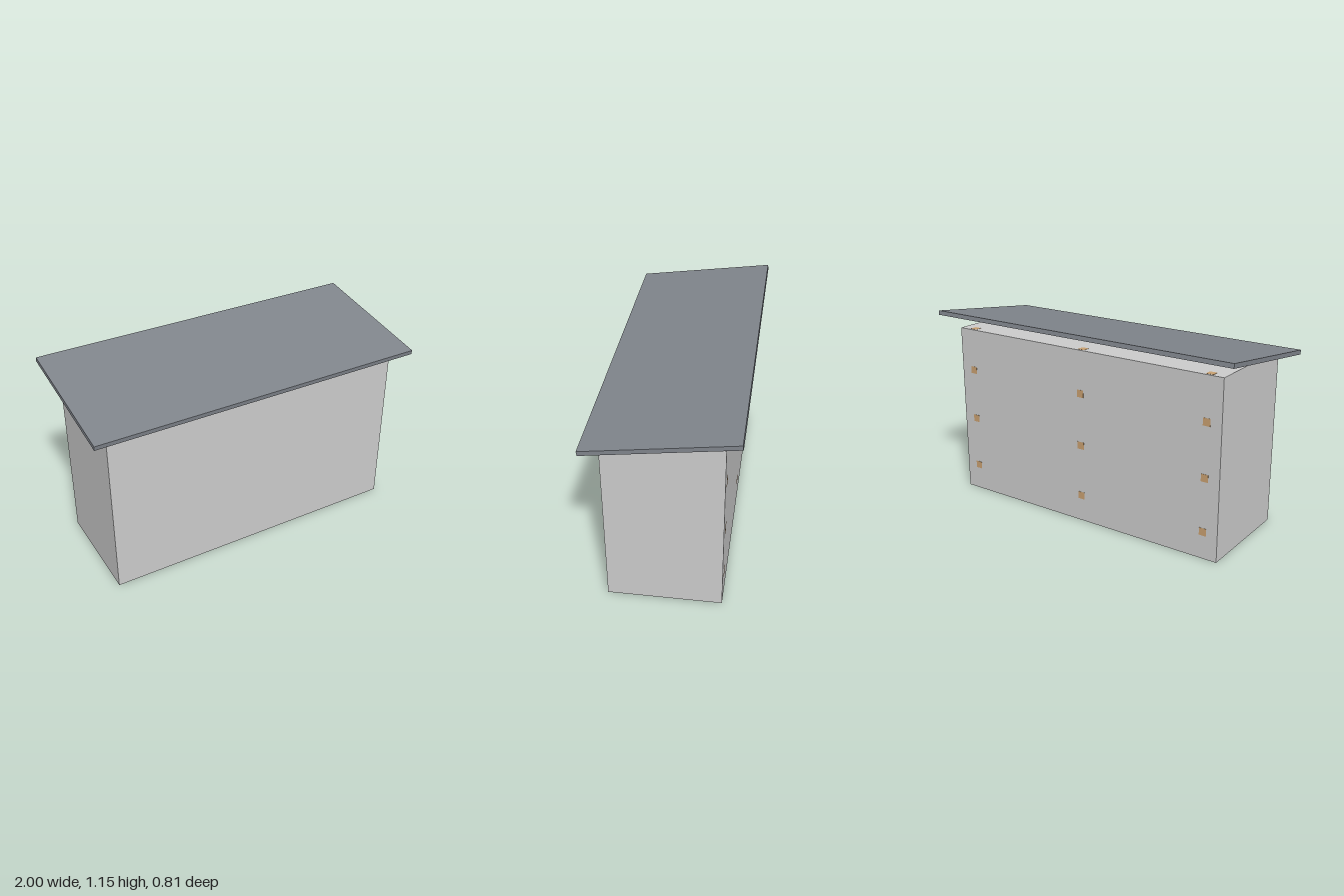
import * as THREE from 'three';

const grey = new THREE.MeshStandardMaterial({ color: 0xcccccc });
const slate = new THREE.MeshStandardMaterial({ color: 0x80858c });
const timber = new THREE.MeshStandardMaterial({ color: 0xc8a070 });

function box(name, material, size, position) {
  const mesh = new THREE.Mesh(new THREE.BoxGeometry(...size), material);
  mesh.name = name;
  mesh.position.set(...position);
  return mesh;
}

export function createModel() {
  const group = new THREE.Group();
  group.name = 'shed';

  // Plain walled body
  const height = 1.045, depth = 0.638;
  group.add(box('body', grey, [1.81, height, depth], [0, height / 2, 0]));

  // Single-pitch roof, low at the front and overhanging all round
  const roof = box('roof', slate, [2, 0.026, 0.816], [0, 1.085, 0]);
  roof.rotation.x = Math.atan(0.114 / 0.81);
  group.add(roof);

  // Timber frame: posts reach the body top, cross beams end at the back wall
  const frame = new THREE.Group();
  frame.name = 'frame';
  const t = 0.044, proud = 0.001;
  for (const x of [-0.815, 0, 0.815]) {
    for (const z of [-0.285, 0.285]) {
      const h = z < 0 ? height + proud : 1.02;
      frame.add(box('post', timber, [t, h - 0.002, t], [x, h / 2 + 0.001, z]));
    }
    for (const y of [0.16, 0.475, 0.79]) {
      frame.add(box('crossBeam', timber, [t, t, depth - 0.002], [x, y, -0.002]));
    }
  }
  group.add(frame);
  return group;
}
